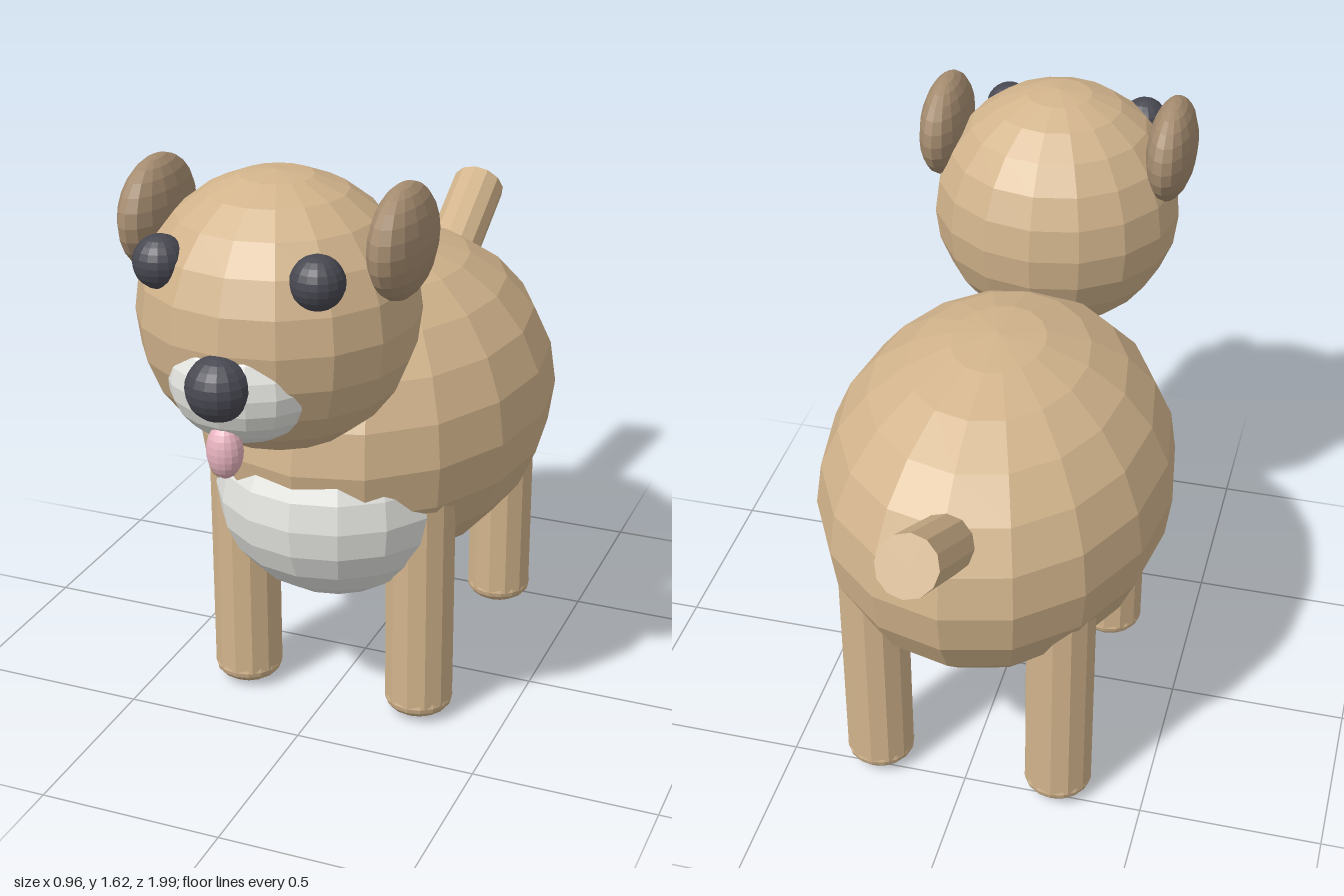
import * as THREE from 'three';

export function createModel() {
  const model = new THREE.Group();
  model.name = 'toyDog';

  const mat = (color) => new THREE.MeshStandardMaterial({ color, flatShading: true });
  const tan = mat(0xd2b48c);
  const brown = mat(0xa58c70);
  const dark = mat(0x484852);
  const white = mat(0xe6e6e2);
  const pink = mat(0xe8b4c0);

  const add = (name, geometry, material, x, y, z) => {
    const mesh = new THREE.Mesh(geometry, material);
    mesh.name = name;
    mesh.position.set(x, y, z);
    model.add(mesh);
    return mesh;
  };
  // Faceted ellipsoid from a unit sphere
  const ellipsoid = (name, material, [x, y, z], [rx, ry, rz], w = 16, h = 12) =>
    add(name, new THREE.SphereGeometry(1, w, h).scale(rx, ry, rz), material, x, y, z);

  // Body, chest patch and head
  ellipsoid('body', tan, [0, 0.785, -0.105], [0.48, 0.455, 0.625]);
  ellipsoid('chestPatch', white, [0, 0.635, 0.2], [0.33, 0.3, 0.34]);
  ellipsoid('head', tan, [0, 1.265, 0.57], [0.35, 0.35, 0.35]);

  // Face
  ellipsoid('muzzle', white, [0, 1.165, 0.77], [0.19, 0.16, 0.175]);
  ellipsoid('nose', dark, [0, 1.187, 0.917], [0.08, 0.08, 0.08]);
  ellipsoid('tongue', pink, [0, 1.02, 0.895], [0.045, 0.07, 0.042]);

  for (const [side, s] of [['left', 1], ['right', -1]]) {
    ellipsoid(side + 'Eye', dark, [s * 0.2, 1.432, 0.8], [0.066, 0.066, 0.066]);
    ellipsoid(side + 'Ear', brown, [s * 0.322, 1.475, 0.57], [0.068, 0.14, 0.17]);

    // Legs with flattened rounded feet
    for (const [end, z] of [['Front', 0.25], ['Back', -0.457]]) {
      const leg = new THREE.CylinderGeometry(0.094, 0.094, 0.65, 12);
      add(side + end + 'Leg', leg, tan, s * 0.257, 0.375, z);
      ellipsoid(side + end + 'Foot', tan, [s * 0.257, 0.05, z], [0.094, 0.05, 0.094]);
    }
  }

  // Tail, raised thirty degrees towards the back
  const tail = add('tail', new THREE.CylinderGeometry(0.079, 0.079, 0.5, 12), tan, 0, 1.016, -0.737);
  tail.rotation.x = -Math.PI / 3;

  return model;
}
